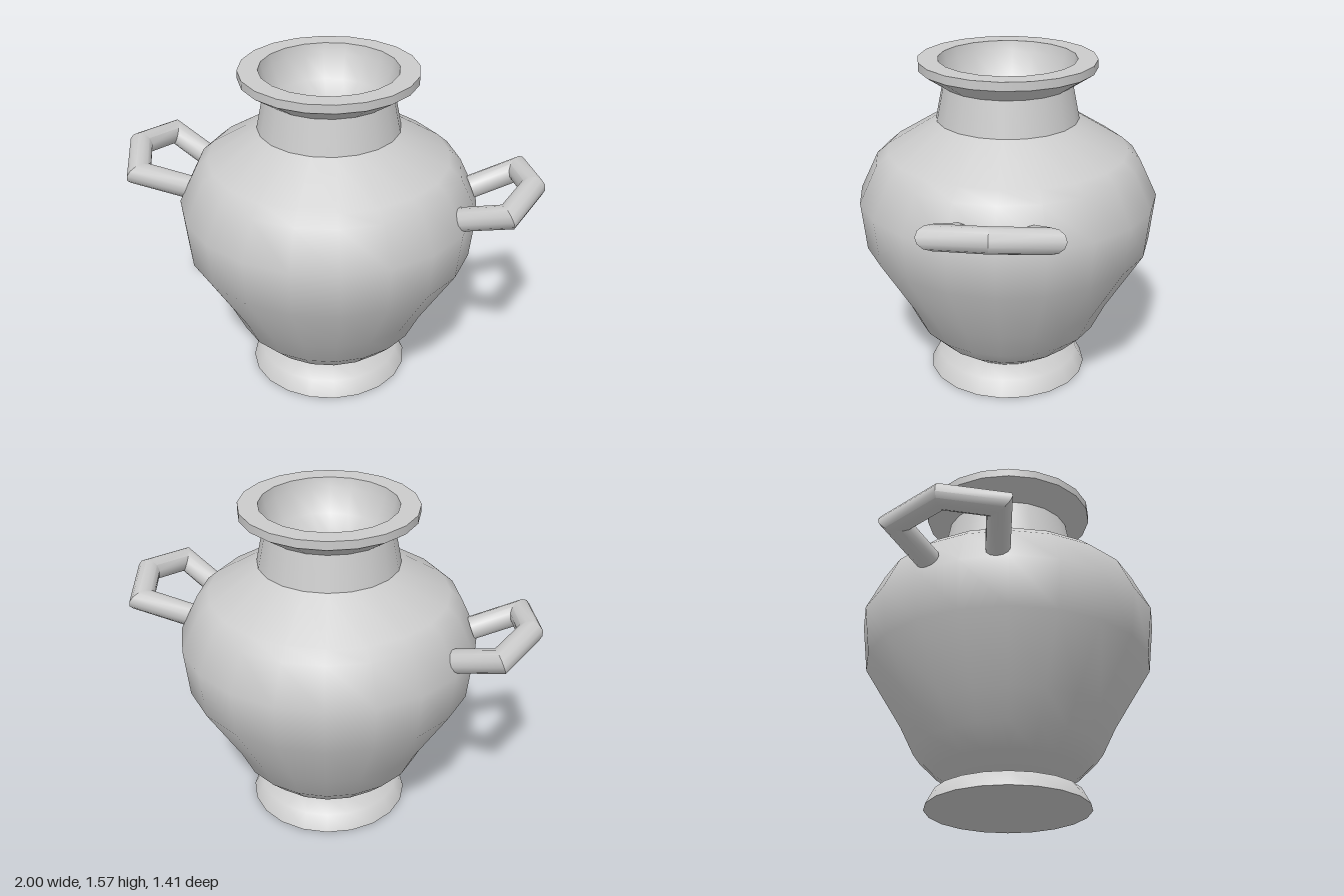
import * as THREE from 'three';
import { toCreasedNormals } from 'three/addons/utils/BufferGeometryUtils.js';

const SIDES = 20;
const material = new THREE.MeshStandardMaterial({ color: 0xcccccc });

function turned(name, profile) {
  const points = profile.map(([r, y]) => new THREE.Vector2(r, y));
  const mesh = new THREE.Mesh(new THREE.LatheGeometry(points, SIDES), material);
  mesh.name = name;
  return mesh;
}

// Round bar with mitred corners along a path lying in the plane with the given normal
function mitredBar(path, normal, radius, sides) {
  const pos = [], index = [];
  const last = path.length - 1;
  path.forEach((p, i) => {
    const before = path[Math.max(i - 1, 0)], after = path[Math.min(i + 1, last)];
    const dirIn = (i > 0 ? p.clone().sub(before) : after.clone().sub(p)).normalize();
    const dirOut = (i < last ? after.clone().sub(p) : p.clone().sub(before)).normalize();
    const along = dirIn.clone().add(dirOut).normalize();
    const across = along.clone().cross(normal).divideScalar(along.dot(dirIn));
    for (let j = 0; j < sides; j++) {
      const a = (j / sides) * Math.PI * 2;
      const v = p.clone()
        .addScaledVector(normal, radius * Math.cos(a))
        .addScaledVector(across, radius * Math.sin(a));
      pos.push(v.x, v.y, v.z);
    }
  });
  for (let i = 0; i < last; i++) {
    for (let j = 0; j < sides; j++) {
      const k = (j + 1) % sides, a = i * sides, b = a + sides;
      index.push(a + j, a + k, b + j, a + k, b + k, b + j);
    }
  }
  // End caps
  const end = last * sides;
  for (let j = 1; j < sides - 1; j++) {
    index.push(0, j + 1, j, end, end + j, end + j + 1);
  }
  const geometry = new THREE.BufferGeometry();
  geometry.setAttribute('position', new THREE.Float32BufferAttribute(pos, 3));
  geometry.setIndex(index);
  return toCreasedNormals(geometry, 0.6);
}

export function createModel() {
  const vase = new THREE.Group();
  vase.name = 'vase';

  // Foot
  vase.add(turned('footBase', [[0, 0], [0.385, 0]]));
  vase.add(turned('foot', [[0.385, 0], [0.345, 0.075], [0.25, 0.105]]));

  // Swelling body up to the shoulder
  vase.add(turned('body', [
    [0.25, 0.105], [0.35, 0.175], [0.44, 0.265], [0.505, 0.4], [0.68, 0.69],
    [0.705, 0.92], [0.622, 1.095], [0.565, 1.145], [0.333, 1.29],
  ]));

  // Neck and flared rim
  vase.add(turned('neck', [[0.333, 1.29], [0.3, 1.455]]));
  vase.add(turned('rimFlare', [[0.3, 1.455], [0.412, 1.53]]));
  vase.add(turned('rimEdge', [[0.412, 1.53], [0.412, 1.57]]));
  vase.add(turned('rimTop', [[0.412, 1.57], [0.32, 1.57]]));

  // Hollow of the mouth
  vase.add(turned('mouth', [
    [0.32, 1.57], [0.31, 1.52], [0.265, 1.41], [0.16, 1.33], [0, 1.3],
  ]));

  // Angular handles tilting up and outward, one on each side
  const tilt = 0.38;
  const path = [[0.65, 0.16], [0.86, 0.235], [0.943, 0], [0.86, -0.235], [0.65, -0.16]]
    .map(([x, z]) => new THREE.Vector3(x, 0.97 + (x - 0.65) * Math.tan(tilt), z));
  const normal = new THREE.Vector3(-Math.sin(tilt), Math.cos(tilt), 0);
  const handleGeometry = mitredBar(path, normal, 0.055, 12);
  ['leftHandle', 'rightHandle'].forEach((name, i) => {
    const handle = new THREE.Mesh(handleGeometry, material);
    handle.name = name;
    handle.rotation.y = i * Math.PI;
    vase.add(handle);
  });

  return vase;
}
